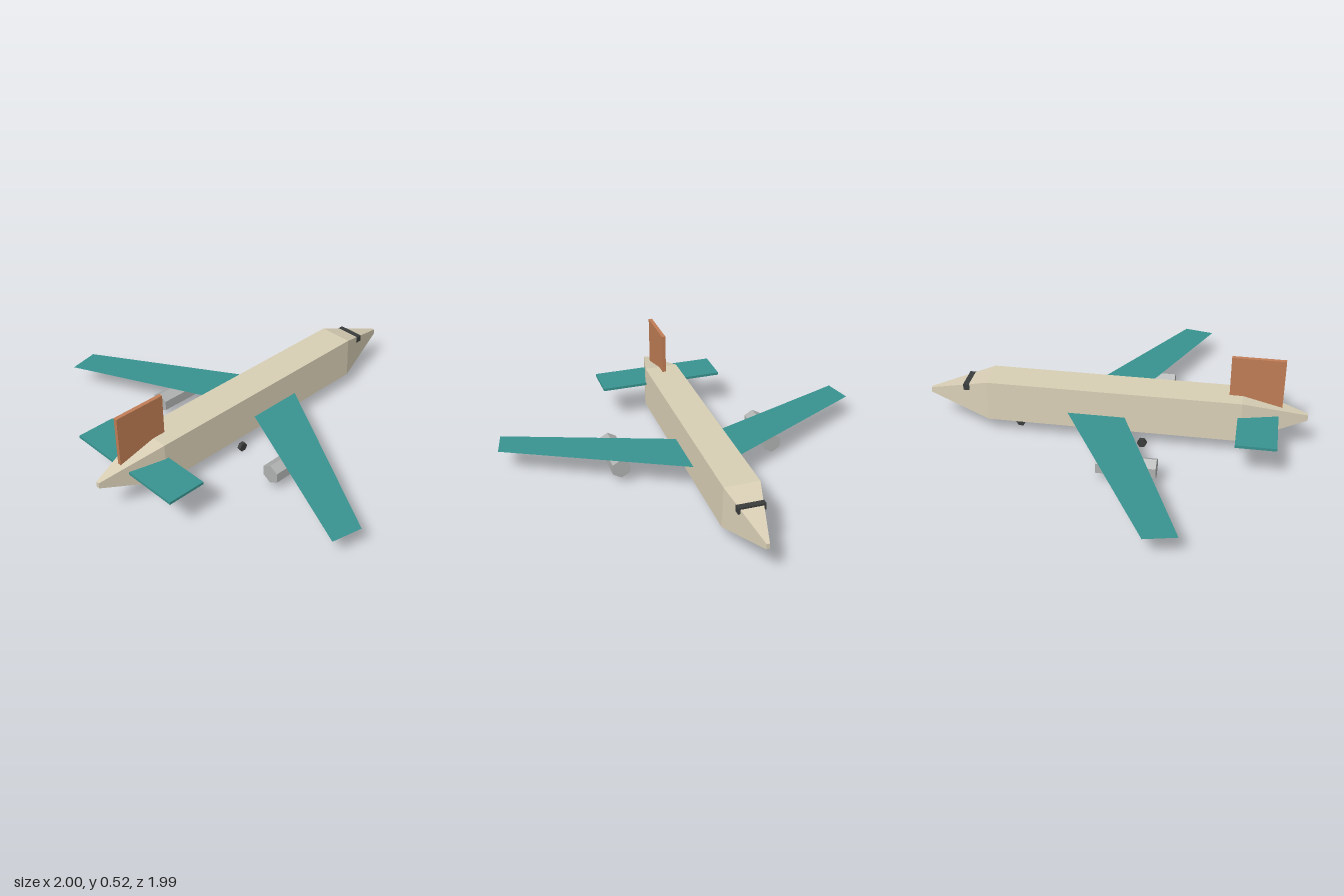
import * as THREE from 'three';

const mat = (name, color, extra = {}) =>
  Object.assign(new THREE.MeshStandardMaterial({ color, flatShading: true, ...extra }), { name });

// Build a flat-shaded geometry from quads given as four corners each
function fromQuads(quads) {
  const pos = [];
  for (const [a, b, c, d] of quads) pos.push(...a, ...b, ...c, ...a, ...c, ...d);
  const g = new THREE.BufferGeometry();
  g.setAttribute('position', new THREE.Float32BufferAttribute(pos, 3));
  g.computeVertexNormals();
  return g;
}

// Skin four-cornered cross-sections running along +z, with end caps
function loft(sections) {
  const rings = sections.map(({ z, bottom, top, wBottom, wTop }) => [
    [-wBottom, bottom, z], [wBottom, bottom, z], [wTop, top, z], [-wTop, top, z],
  ]);
  const quads = [];
  for (let i = 0; i < rings.length - 1; i++) {
    for (let k = 0; k < 4; k++) {
      const n = (k + 1) % 4;
      quads.push([rings[i][k], rings[i][n], rings[i + 1][n], rings[i + 1][k]]);
    }
  }
  quads.push([...rings[0]].reverse(), rings[rings.length - 1]);
  return fromQuads(quads);
}

export function createModel() {
  const group = new THREE.Group();
  const cream = mat('cream body', 0xd8ceb5);
  const teal = mat('teal wing', 0x389390);
  const tealSheet = mat('teal wing sheet', 0x389390, { side: THREE.DoubleSide });
  const rust = mat('rust fin', 0xc07d55);
  const grey = mat('grey engine', 0xb0b2b1);
  const dark = mat('dark rubber and glass', 0x3a3d3c);

  const add = (name, geometry, material, x = 0, y = 0, z = 0) => {
    const mesh = new THREE.Mesh(geometry, material);
    mesh.name = name;
    mesh.position.set(x, y, z);
    group.add(mesh);
    return mesh;
  };

  // Fuselage: straight box section with tapered nose (-z) and tail (+z)
  add('fuselage', loft([
    { z: -0.993, bottom: 0.165, top: 0.192, wBottom: 0.009, wTop: 0.008 },
    { z: -0.66, bottom: 0.083, top: 0.3, wBottom: 0.098, wTop: 0.091 },
    { z: 0.66, bottom: 0.083, top: 0.3, wBottom: 0.098, wTop: 0.091 },
    { z: 0.993, bottom: 0.187, top: 0.217, wBottom: 0.01, wTop: 0.009 },
  ]), cream);

  // Tail surfaces and windshield
  add('fin', new THREE.BoxGeometry(0.02, 0.275, 0.27), rust, 0, 0.378, 0.726);
  add('tailplane', new THREE.BoxGeometry(0.684, 0.014, 0.204), teal, 0, 0.213, 0.743);
  add('windshield', new THREE.BoxGeometry(0.138, 0.034, 0.032), dark, 0, 0.249, -0.779);

  const engineGeo = new THREE.CylinderGeometry(0.053, 0.053, 0.298, 6).rotateX(Math.PI / 2);
  const wheelGeo = new THREE.CylinderGeometry(0.025, 0.025, 0.02, 6).rotateZ(Math.PI / 2);

  for (const [side, s] of [['left', 1], ['right', -1]]) {
    // Swept, slightly drooping sheet wing; corners wound so the face points up
    const p = (x, z) => [s * x, 0.166 - 0.034 * x, z];
    const corners = [p(0, -0.288), p(0, 0.025), p(0.965, 0.438), p(1, 0.28)];
    if (s < 0) corners.reverse();
    add(side + 'Wing', fromQuads([corners]), tealSheet);
    add(side + 'Engine', engineGeo, grey, s * 0.416, 0.093, 0.125);
    add(side + 'MainWheel', wheelGeo, dark, s * 0.1, 0.022, 0.159);
  }
  add('noseWheel', wheelGeo, dark, 0, 0.022, -0.511);

  return group;
}
